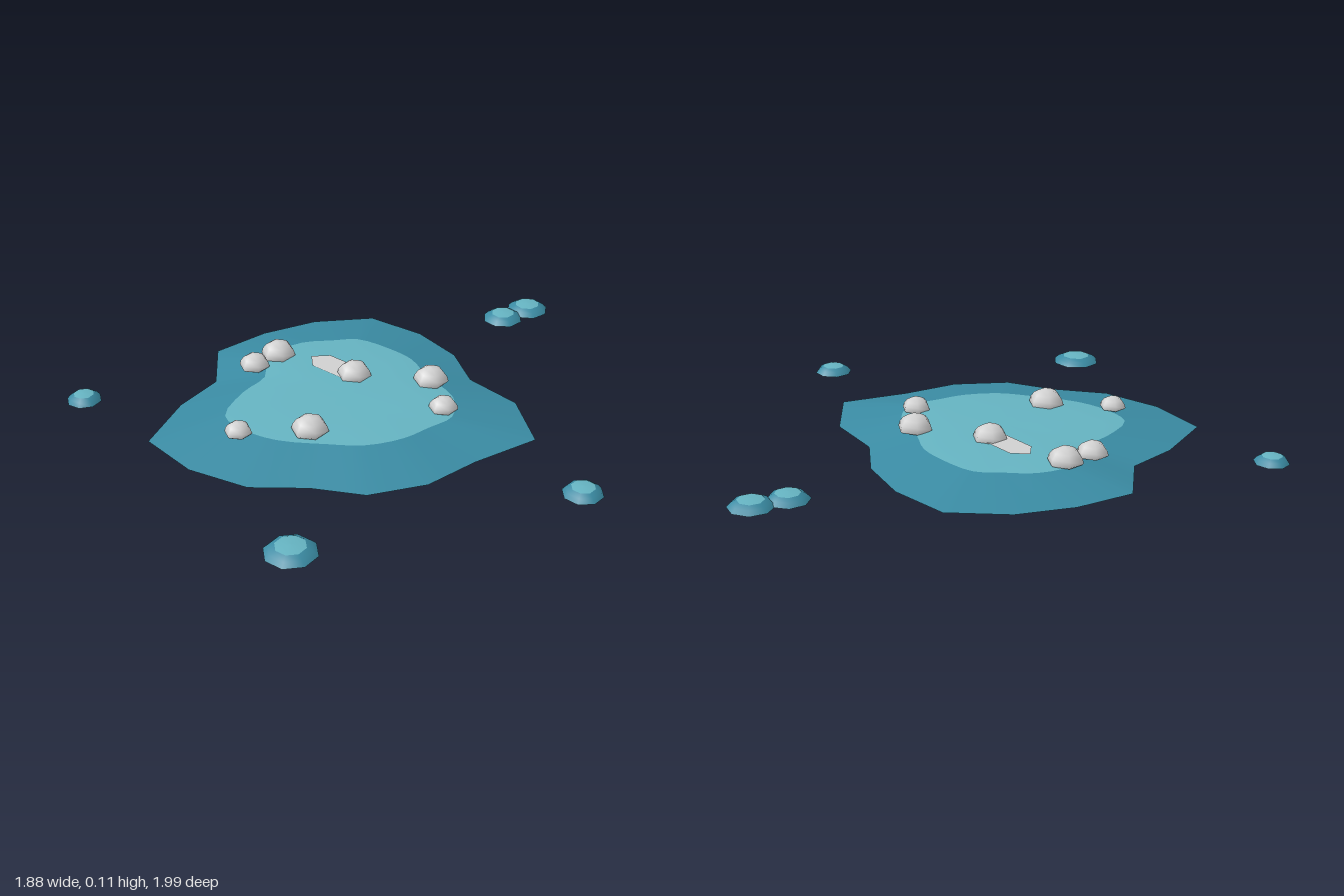
import * as THREE from 'three';

const darkWater = new THREE.MeshStandardMaterial({ color: 0x3a8ba3, side: THREE.DoubleSide });
darkWater.name = 'darkWater';
const lightWater = new THREE.MeshStandardMaterial({ color: 0x65b3c1, side: THREE.DoubleSide });
lightWater.name = 'lightWater';
const bubbleGrey = new THREE.MeshStandardMaterial({ color: 0xd0d0d0, side: THREE.DoubleSide });
bubbleGrey.name = 'bubbleGrey';

// Outlines as [x, z], clockwise from the back left
const RIM = [[-0.47, -0.46], [-0.24, -0.48], [-0.03, -0.43], [0.13, -0.32], [0.36, -0.29], [0.56, -0.13],
  [0.48, 0.12], [0.44, 0.33], [0.32, 0.51], [0.145, 0.6], [-0.02, 0.73], [-0.25, 0.78],
  [-0.49, 0.745], [-0.58, 0.5], [-0.6, 0.3], [-0.76, 0.13], [-0.72, -0.09], [-0.63, -0.29]];
const POOL = [[-0.35, -0.23], [-0.21, -0.25], [-0.09, -0.24], [0.03, -0.18], [0.2, -0.12], [0.28, -0.01],
  [0.26, 0.1], [0.235, 0.21], [0.16, 0.33], [0.05, 0.41], [-0.1, 0.5], [-0.235, 0.525],
  [-0.35, 0.5], [-0.415, 0.34], [-0.43, 0.21], [-0.53, 0.09], [-0.5, -0.07], [-0.42, -0.16]];
const STEPS = 3; // subdivisions of each outline edge

// Straight-edged or rounded closed ring at height y
function ring(points, y, rounded) {
  const v = points.map(([x, z]) => new THREE.Vector3(x, y, z));
  const curve = new THREE.CatmullRomCurve3(v, true);
  const out = [];
  for (let i = 0; i < v.length * STEPS; i++) {
    const k = Math.floor(i / STEPS), t = (i % STEPS) / STEPS;
    out.push(rounded ? curve.getPoint(i / (v.length * STEPS)) : v[k].clone().lerp(v[(k + 1) % v.length], t));
  }
  return out;
}

// Skin between rings listed from the outside in
function skin(rings) {
  const n = rings[0].length, index = [];
  for (let r = 0; r < rings.length - 1; r++) {
    for (let i = 0; i < n; i++) {
      const j = (i + 1) % n, o = r * n, p = o + n;
      index.push(o + i, p + i, p + j, o + i, p + j, o + j);
    }
  }
  const g = new THREE.BufferGeometry().setFromPoints(rings.flat());
  g.setIndex(index);
  g.computeVertexNormals();
  return g;
}

function add(parent, name, geometry, material, x = 0, y = 0, z = 0) {
  const mesh = new THREE.Mesh(geometry, material);
  mesh.name = name;
  mesh.position.set(x, y, z);
  parent.add(mesh);
  return mesh;
}

const lathe = (points, sides) => new THREE.LatheGeometry(points.map(([x, y]) => new THREE.Vector2(x, y)), sides);

export function createModel() {
  const model = new THREE.Group();
  model.name = 'puddle';

  // Sloping rim and gently domed pool
  const edge = ring(POOL, 0.043, true);
  add(model, 'puddleRim', skin([ring(RIM, 0, false), edge]), darkWater);
  const centre = new THREE.Vector3(-0.1, 0.053, 0.12);
  const toward = (t, y) => edge.map((p) => p.clone().lerp(centre, t).setY(y));
  add(model, 'puddleSurface', skin([edge, toward(0.2, 0.049), toward(0.5, 0.052), toward(0.98, 0.053), toward(1, 0.053)]), lightWater);

  // Flat patch of foam
  const patch = new THREE.Shape([[-0.385, 0], [-0.335, -0.05], [-0.18, -0.05], [-0.18, 0.05], [-0.335, 0.05]]
    .map(([x, y]) => new THREE.Vector2(x, y)));
  add(model, 'foamPatch', new THREE.ShapeGeometry(patch).rotateX(-Math.PI / 2), bubbleGrey, 0, 0.056, 0);

  // Six-sided half bubbles: x, z, radius
  const bubbles = [[0.07, -0.155, 0.066], [0.225, -0.03, 0.054], [-0.175, -0.005, 0.065], [-0.5, 0.06, 0.066],
    [-0.51, 0.18, 0.058], [-0.045, 0.385, 0.068], [-0.23, 0.555, 0.05]];
  for (const [x, z, r] of bubbles) {
    const dome = [[1, 0.1], [0.92, 0.38], [0.71, 0.66], [0.38, 0.85], [0, 0.91]].map(([a, b]) => [a * r, b * r]);
    const bubble = new THREE.Group();
    bubble.name = 'bubble';
    bubble.position.set(x, 0.046, z);
    add(bubble, 'bubbleDome', lathe([[0.9 * r, 0], ...dome], 6), bubbleGrey);
    add(bubble, 'bubbleBase', lathe([[0, 0], [0.9 * r, 0]], 6), bubbleGrey);
    model.add(bubble);
  }

  // Stray droplets: x, z, radius
  const droplets = [[-0.03, -0.92, 0.083], [-0.062, -0.795, 0.079], [0.87, 0.04, 0.073],
    [0.335, 0.9, 0.093], [-0.882, 0.7, 0.065]];
  droplets.forEach(([x, z, r], i) => {
    const drop = new THREE.Group();
    drop.name = 'droplet';
    drop.position.set(x, 0, z);
    drop.rotation.y = 0.15 + i * 0.1;
    add(drop, 'dropletRim', lathe([[r, 0], [0.82 * r, 0.016], [0.58 * r, 0.026]], 8), darkWater);
    add(drop, 'dropletTop', lathe([[0.58 * r, 0.026], [0.3 * r, 0.03], [0, 0.031]], 8), lightWater);
    model.add(drop);
  });

  return model;
}
